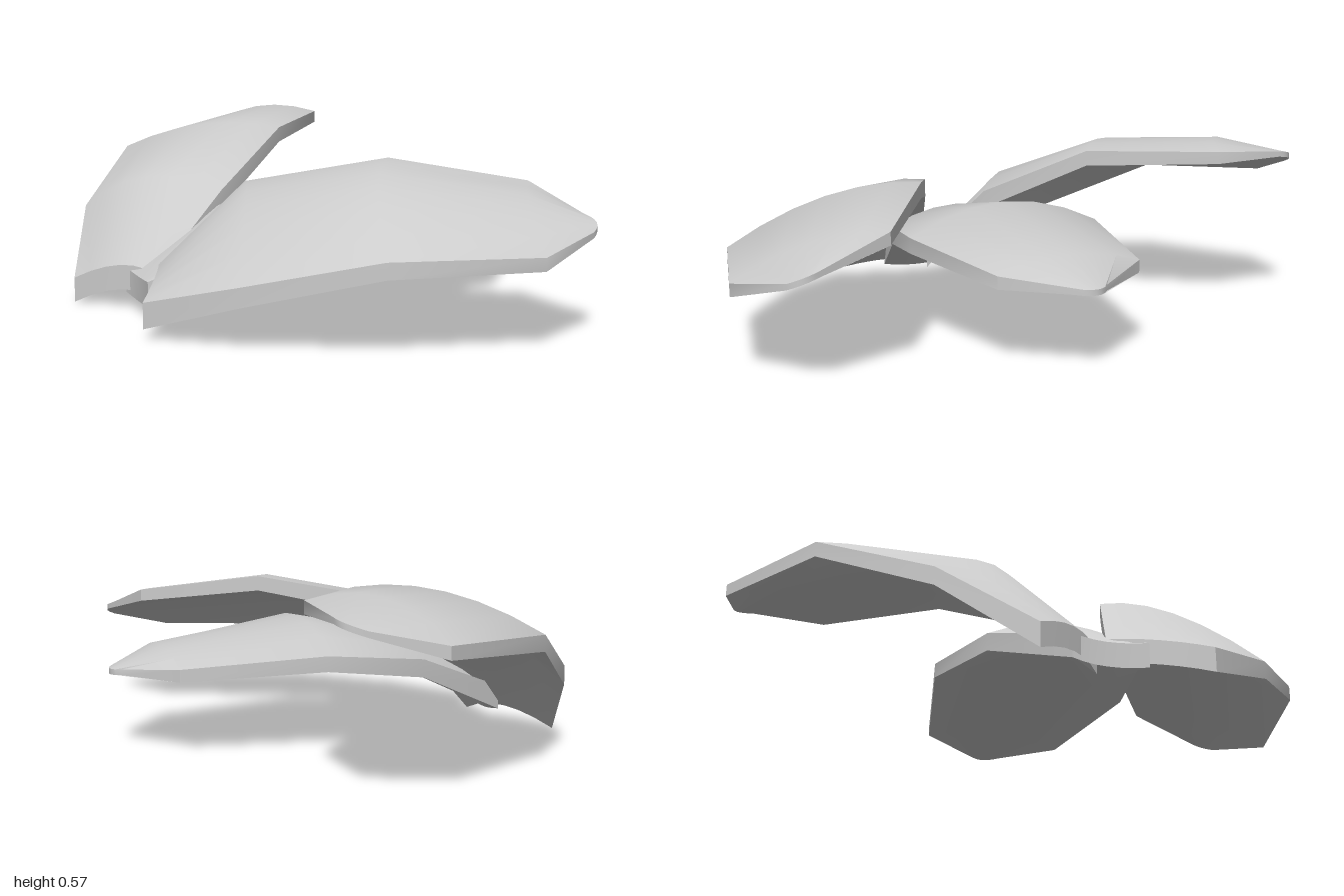
import * as THREE from 'three';
import { toCreasedNormals } from 'three/addons/utils/BufferGeometryUtils.js';

const COLS = 6; // strips across a petal
const THICKNESS = [0.08, 0.06, 0.05, 0.04, 0.018]; // base to tip

// Point at t on the parabola through an edge, the ridge and the other edge
function across(a, ridge, b, t) {
  const wa = (1 - t) * (1 - 2 * t), wr = 4 * t * (1 - t), wb = t * (2 * t - 1);
  return a.map((v, i) => v * wa + ridge[i] * wr + b[i] * wb);
}

// Closed, arched petal lofted through [+z edge, ridge, -z edge] sections
function petalGeometry(sections) {
  const pos = [], index = [], ring = 2 * (COLS + 1);
  sections.forEach(([a, ridge, b], row) => {
    const top = [];
    for (let k = 0; k <= COLS; k++) top.push(across(a, ridge, b, k / COLS));
    const under = top.map(([x, y, z]) => [x, y - THICKNESS[row], z]).reverse();
    pos.push(...top.flat(), ...under.flat());
  });
  // Skin
  for (let r = 0; r < sections.length - 1; r++) {
    for (let k = 0; k < ring; k++) {
      const a = r * ring + k, b = r * ring + (k + 1) % ring;
      index.push(a, a + ring, b + ring, a, b + ring, b);
    }
  }
  // End caps
  const last = (sections.length - 1) * ring;
  for (let k = 0; k < COLS; k++) {
    const a = k, b = k + 1, c = ring - 2 - k, d = ring - 1 - k;
    index.push(a, b, c, a, c, d);
    index.push(last + a, last + c, last + b, last + a, last + d, last + c);
  }
  const g = new THREE.BufferGeometry();
  g.setAttribute('position', new THREE.Float32BufferAttribute(pos, 3));
  g.setIndex(index);
  return toCreasedNormals(g, 0.7);
}

const PETALS = {
  backPetal: [
    [[-0.53, 0.12, 0.05], [-0.62, 0.14, -0.05], [-0.735, 0.08, -0.19]],
    [[-0.27, 0.36, -0.06], [-0.47, 0.39, -0.25], [-0.62, 0.27, -0.47]],
    [[0.03, 0.53, -0.3], [-0.19, 0.53, -0.5], [-0.38, 0.43, -0.78]],
    [[0.31, 0.545, -0.64], [0.12, 0.56, -0.76], [0.02, 0.455, -1]],
    [[0.31, 0.53, -0.88], [0.295, 0.52, -0.93], [0.24, 0.5, -0.955]],
  ],
  middlePetal: [
    [[-0.6, 0.13, 0.19], [-0.59, 0.12, 0.06], [-0.6, 0.13, -0.05]],
    [[-0.25, 0.27, 0.29], [-0.29, 0.32, 0.04], [-0.25, 0.27, -0.21]],
    [[0.12, 0.315, 0.37], [0.1, 0.4, 0.04], [0.11, 0.315, -0.29]],
    [[0.56, 0.285, 0.275], [0.56, 0.325, 0.04], [0.56, 0.285, -0.2]],
    [[0.7, 0.262, 0.1], [0.73, 0.26, 0.04], [0.7, 0.262, -0.01]],
  ],
  frontPetal: [
    [[-0.67, 0.11, 0.37], [-0.59, 0.15, 0.23], [-0.53, 0.16, 0.08]],
    [[-0.47, 0.19, 0.63], [-0.35, 0.38, 0.38], [-0.27, 0.42, 0.16]],
    [[-0.13, 0.285, 0.89], [-0.02, 0.445, 0.6], [0.14, 0.495, 0.34]],
    [[0.31, 0.285, 1], [0.38, 0.395, 0.79], [0.5, 0.435, 0.58]],
    [[0.53, 0.325, 0.9], [0.565, 0.345, 0.86], [0.56, 0.36, 0.81]],
  ],
};

export function createModel() {
  const group = new THREE.Group();
  group.name = 'petals';
  const material = new THREE.MeshStandardMaterial({ color: 0xcccccc });
  for (const [name, sections] of Object.entries(PETALS)) {
    const mesh = new THREE.Mesh(petalGeometry(sections), material);
    mesh.name = name;
    group.add(mesh);
  }
  return group;
}
